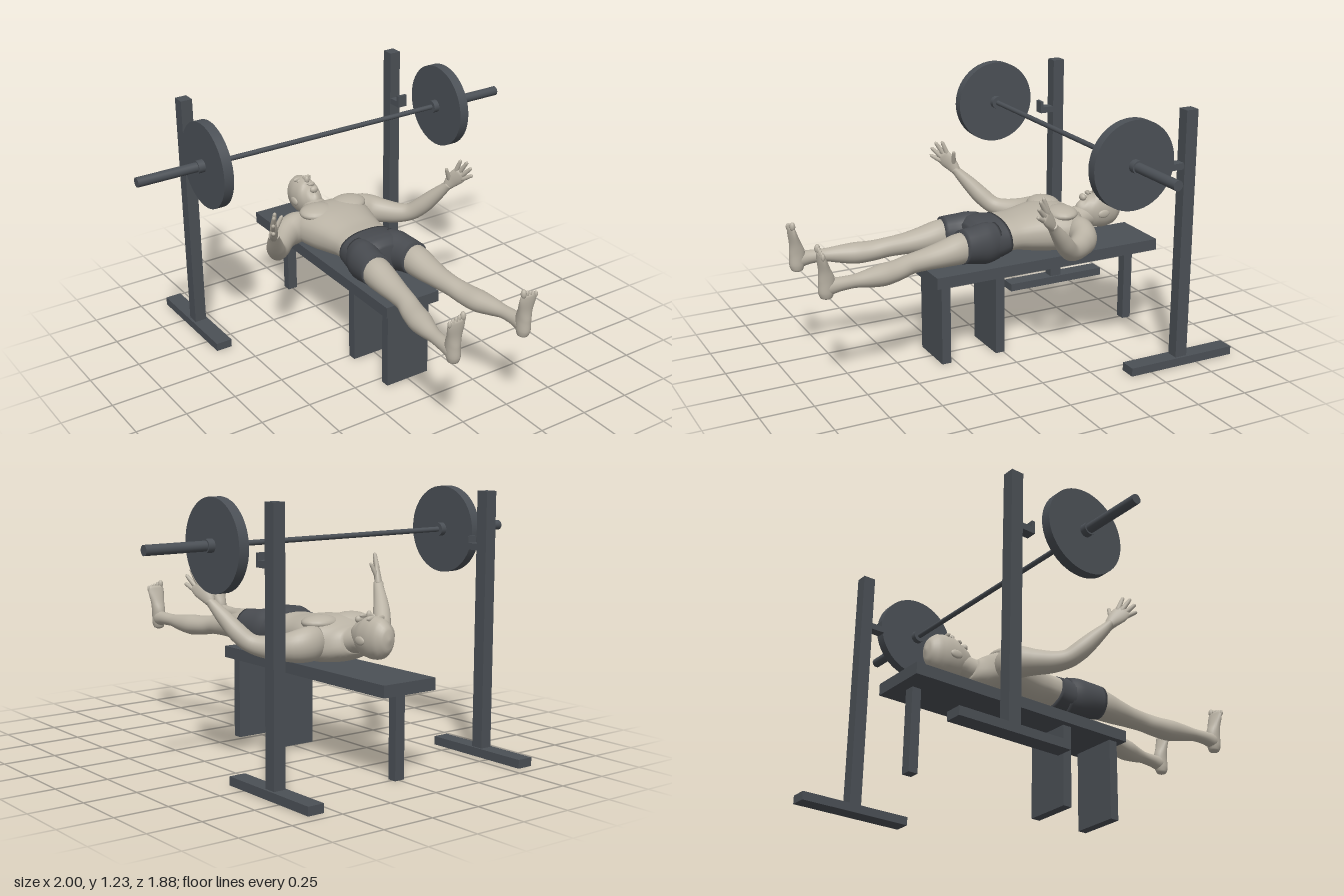
import * as THREE from 'three';

const skin = new THREE.MeshStandardMaterial({ color: 0xbab3a5 });
skin.name = 'skin';
const steel = new THREE.MeshStandardMaterial({ color: 0x4b5056 });
steel.name = 'painted steel';
const cloth = new THREE.MeshStandardMaterial({ color: 0x484b50 });
cloth.name = 'shorts cloth';

const Y = new THREE.Vector3(0, 1, 0), Z = new THREE.Vector3(0, 0, 1);

function add(parent, name, geo, mat, x = 0, y = 0, z = 0) {
  const m = new THREE.Mesh(geo, mat);
  m.name = name;
  m.position.set(x, y, z);
  parent.add(m);
  return m;
}

// Box given by its limits on each axis
function box(parent, name, x0, x1, y0, y1, z0, z1) {
  return add(parent, name, new THREE.BoxGeometry(x1 - x0, y1 - y0, z1 - z0), steel,
    (x0 + x1) / 2, (y0 + y1) / 2, (z0 + z1) / 2);
}

function ellipsoid(parent, name, mat, x, y, z, rx, ry, rz) {
  return add(parent, name, new THREE.SphereGeometry(1, 20, 14).scale(rx, ry, rz), mat, x, y, z);
}

// Smooth skin through oval sections [x, y, z, halfWidth, halfHeight]
function loft(sections, { ref = Y, side = 1, power = 1, seg = 24, steps = 4 } = {}) {
  const path = new THREE.CatmullRomCurve3(sections.map(s => new THREE.Vector3(s[0] * side, s[1], s[2])));
  const size = new THREE.CatmullRomCurve3(sections.map(s => new THREE.Vector3(s[3], s[4], 0)));
  const rings = (sections.length - 1) * steps, pos = [], idx = [];
  const bend = v => Math.sign(v) * Math.abs(v) ** power;
  for (let i = 0; i <= rings; i++) {
    const t = i / rings, p = path.getPoint(t), r = size.getPoint(t), T = path.getTangent(t);
    const across = ref.clone().cross(T).normalize(), up = T.clone().cross(across);
    for (let j = 0; j < seg; j++) {
      const a = j / seg * Math.PI * 2;
      const v = p.clone().addScaledVector(across, r.x * bend(Math.cos(a))).addScaledVector(up, r.y * bend(Math.sin(a)));
      pos.push(v.x, v.y, v.z);
      if (i === rings) continue;
      const k = (j + 1) % seg, A = i * seg + j, B = i * seg + k;
      idx.push(A, B, A + seg, B, B + seg, A + seg);
    }
  }
  // end caps
  for (const [t, base] of [[0, 0], [1, rings * seg]]) {
    const c = pos.length / 3;
    pos.push(...path.getPoint(t).toArray());
    for (let j = 0; j < seg; j++) {
      const a = base + j, b = base + (j + 1) % seg;
      idx.push(c, t ? a : b, t ? b : a);
    }
  }
  const g = new THREE.BufferGeometry();
  g.setAttribute('position', new THREE.Float32BufferAttribute(pos, 3));
  g.setIndex(idx);
  g.computeVertexNormals();
  return g;
}

// Sections running along z: [z, halfWidth, yBottom, yTop]
const alongZ = rows => rows.map(([z, w, b, t]) => [0, (b + t) / 2, z, w, (t - b) / 2]);

function makeBench() {
  const g = new THREE.Group();
  g.name = 'bench';
  box(g, 'benchPad', -0.145, 0.145, 0.39, 0.445, -0.83, 0.354);
  box(g, 'frontLeg', -0.115, 0.115, 0, 0.39, 0.275, 0.32);
  box(g, 'middleLeg', -0.115, 0.115, 0, 0.39, -0.005, 0.04);
  box(g, 'rearLeg', -0.025, 0.025, 0, 0.39, -0.77, -0.725);
  return g;
}

function makeRack(s) {
  const g = new THREE.Group();
  g.name = s > 0 ? 'leftRack' : 'rightRack';
  const part = (name, a, b, ...r) => box(g, name, Math.min(a * s, b * s), Math.max(a * s, b * s), ...r);
  part('rackPost', 0.56, 0.618, 0, 1.22, -0.7, -0.64);
  part('rackFoot', 0.55, 0.63, 0, 0.04, -0.945, -0.395);
  part('hookArm', 0.562, 0.612, 0.95, 0.98, -0.64, -0.57);
  part('hookLip', 0.562, 0.612, 0.98, 1.01, -0.585, -0.57);
  return g;
}

function makeBarbell() {
  const g = new THREE.Group();
  g.name = 'barbell';
  const rod = (name, x0, x1, r, n = 24) =>
    add(g, name, new THREE.CylinderGeometry(r, r, x1 - x0, n).rotateZ(Math.PI / 2), steel, (x0 + x1) / 2);
  rod('bar', -0.6, 0.6, 0.012);
  for (const s of [-1, 1]) {
    const part = (name, a, b, r, n) => rod(name, Math.min(a * s, b * s), Math.max(a * s, b * s), r, n);
    part('sleeve', 0.6, 1, 0.023);
    part('innerCollar', 0.598, 0.628, 0.031);
    part('weightPlate', 0.626, 0.674, 0.203, 48);
    part('outerCollar', 0.674, 0.706, 0.03);
  }
  g.position.set(0, 1.023, -0.34);
  return g;
}

function makeHead() {
  const g = new THREE.Group();
  g.name = 'head';
  add(g, 'skull', loft(alongZ([
    [-0.696, 0.006, 0.595, 0.61], [-0.685, 0.036, 0.55, 0.655], [-0.65, 0.058, 0.515, 0.688],
    [-0.6, 0.066, 0.505, 0.697], [-0.55, 0.064, 0.512, 0.695], [-0.515, 0.055, 0.535, 0.69],
    [-0.485, 0.036, 0.585, 0.68], [-0.472, 0.008, 0.635, 0.66]])), skin);
  add(g, 'neck', loft(alongZ([
    [-0.57, 0.05, 0.52, 0.62], [-0.5, 0.056, 0.522, 0.63], [-0.45, 0.066, 0.51, 0.625],
    [-0.39, 0.1, 0.49, 0.63]])), skin);
  ellipsoid(g, 'nose', skin, 0, 0.697, -0.557, 0.013, 0.019, 0.012);
  ellipsoid(g, 'noseBridge', skin, 0, 0.693, -0.575, 0.008, 0.013, 0.024);
  ellipsoid(g, 'upperLip', skin, 0, 0.69, -0.524, 0.021, 0.009, 0.006);
  ellipsoid(g, 'lowerLip', skin, 0, 0.688, -0.514, 0.018, 0.009, 0.006);
  ellipsoid(g, 'chin', skin, 0, 0.67, -0.491, 0.022, 0.018, 0.016);
  for (const s of [-1, 1]) {
    ellipsoid(g, 'ear', skin, s * 0.066, 0.59, -0.573, 0.009, 0.02, 0.031);
    ellipsoid(g, 'brow', skin, s * 0.026, 0.687, -0.602, 0.024, 0.012, 0.008);
    ellipsoid(g, 'eyelid', skin, s * 0.026, 0.683, -0.586, 0.013, 0.009, 0.007);
  }
  return g;
}

function makeArm(s) {
  const g = new THREE.Group();
  g.name = s > 0 ? 'leftArm' : 'rightArm';
  add(g, 'arm', loft([
    [0.13, 0.565, -0.365, 0.05, 0.07], [0.19, 0.56, -0.368, 0.064, 0.08], [0.24, 0.553, -0.355, 0.064, 0.074],
    [0.29, 0.547, -0.31, 0.054, 0.06], [0.34, 0.547, -0.25, 0.046, 0.05], [0.382, 0.562, -0.2, 0.041, 0.043],
    [0.418, 0.605, -0.155, 0.042, 0.043], [0.452, 0.665, -0.105, 0.035, 0.036],
    [0.482, 0.725, -0.055, 0.025, 0.024], [0.492, 0.745, -0.04, 0.024, 0.02]], { side: s }), skin);
  // palm, edge-on between thumb side and little finger side
  const spread = new THREE.Vector3(-0.55 * s, 0.62, -0.56).cross(new THREE.Vector3(0.3 * s, 0.75, 0.6)).normalize();
  add(g, 'palm', loft([
    [0.486, 0.732, -0.048, 0.022, 0.02], [0.499, 0.763, -0.028, 0.034, 0.018],
    [0.512, 0.79, -0.006, 0.04, 0.016], [0.522, 0.81, 0.01, 0.038, 0.013],
    [0.527, 0.82, 0.018, 0.02, 0.006]], { side: s, ref: spread }), skin);
  // fingers: base, tip
  const fingers = {
    indexFinger: [[0.508, 0.822, -0.008], [0.515, 0.888, 0.018]],
    middleFinger: [[0.521, 0.82, 0.006], [0.535, 0.882, 0.045]],
    ringFinger: [[0.528, 0.806, 0.018], [0.549, 0.853, 0.061]],
    littleFinger: [[0.53, 0.787, 0.022], [0.552, 0.815, 0.066]],
    thumb: [[0.492, 0.765, -0.035], [0.456, 0.845, -0.02]],
  };
  for (const [name, [a, b]] of Object.entries(fingers)) {
    const at = (t, r) => [...a.map((v, i) => v + (b[i] - v) * t), r, r];
    add(g, name, loft([at(-0.3, 0.008), at(0, 0.012), at(0.5, 0.0105), at(0.9, 0.008), at(1, 0.002)],
      { side: s, ref: Z, seg: 10, steps: 3 }), skin);
  }
  return g;
}

function makeLeg(s) {
  const g = new THREE.Group();
  g.name = s > 0 ? 'leftLeg' : 'rightLeg';
  add(g, 'shortsLeg', loft([
    [0.082, 0.556, 0.03, 0.07, 0.09], [0.092, 0.556, 0.09, 0.08, 0.098], [0.102, 0.56, 0.15, 0.077, 0.088],
    [0.108, 0.563, 0.217, 0.074, 0.08]], { side: s }), cloth);
  add(g, 'leg', loft([
    [0.106, 0.562, 0.17, 0.066, 0.072], [0.109, 0.556, 0.23, 0.069, 0.072], [0.113, 0.546, 0.31, 0.064, 0.061],
    [0.119, 0.538, 0.4, 0.053, 0.05], [0.128, 0.532, 0.48, 0.048, 0.046], [0.144, 0.521, 0.55, 0.053, 0.047],
    [0.158, 0.517, 0.62, 0.055, 0.05], [0.175, 0.519, 0.7, 0.043, 0.041], [0.187, 0.523, 0.78, 0.031, 0.03],
    [0.191, 0.523, 0.84, 0.031, 0.032], [0.191, 0.52, 0.89, 0.032, 0.038],
    [0.191, 0.52, 0.915, 0.02, 0.025]], { side: s }), skin);
  // foot, heel to ball
  add(g, 'foot', loft([
    [0.188, 0.463, 0.902, 0.008, 0.008], [0.188, 0.471, 0.902, 0.024, 0.026], [0.189, 0.5, 0.902, 0.031, 0.036],
    [0.19, 0.55, 0.899, 0.032, 0.037], [0.19, 0.6, 0.907, 0.036, 0.026], [0.191, 0.65, 0.918, 0.044, 0.018],
    [0.192, 0.675, 0.922, 0.043, 0.013], [0.192, 0.684, 0.923, 0.03, 0.006]],
  { side: s, ref: Z }), skin);
  for (let i = 0; i < 5; i++) {
    const r = i ? 0.0085 : 0.013;
    ellipsoid(g, 'toe', skin, s * (0.161 + i * 0.0165 + (i ? 0.003 : 0)), 0.69 - i * 0.005, 0.924, r, i ? 0.016 : 0.021, r);
  }
  return g;
}

function makeFigure() {
  const g = new THREE.Group();
  g.name = 'lyingFigure';
  add(g, 'torso', loft(alongZ([
    [-0.46, 0.062, 0.515, 0.62], [-0.43, 0.12, 0.485, 0.635], [-0.39, 0.19, 0.465, 0.65],
    [-0.33, 0.2, 0.455, 0.667], [-0.25, 0.182, 0.455, 0.668], [-0.16, 0.157, 0.468, 0.656],
    [-0.08, 0.144, 0.483, 0.645], [-0.01, 0.143, 0.482, 0.645]]), { power: 0.85, seg: 36 }), skin);
  add(g, 'shorts', loft(alongZ([
    [-0.032, 0.148, 0.475, 0.65], [0.02, 0.155, 0.458, 0.654], [0.07, 0.164, 0.454, 0.655],
    [0.11, 0.15, 0.465, 0.65], [0.145, 0.08, 0.5, 0.62]]), { power: 0.85, seg: 36 }), cloth);
  for (const s of [-1, 1]) {
    ellipsoid(g, 'chestMuscle', skin, s * 0.088, 0.643, -0.32, 0.09, 0.033, 0.075);
    g.add(makeArm(s), makeLeg(s));
  }
  g.add(makeHead());
  return g;
}

export function createModel() {
  const model = new THREE.Group();
  model.name = 'benchPress';
  model.add(makeBench(), makeRack(1), makeRack(-1), makeBarbell(), makeFigure());
  return model;
}
